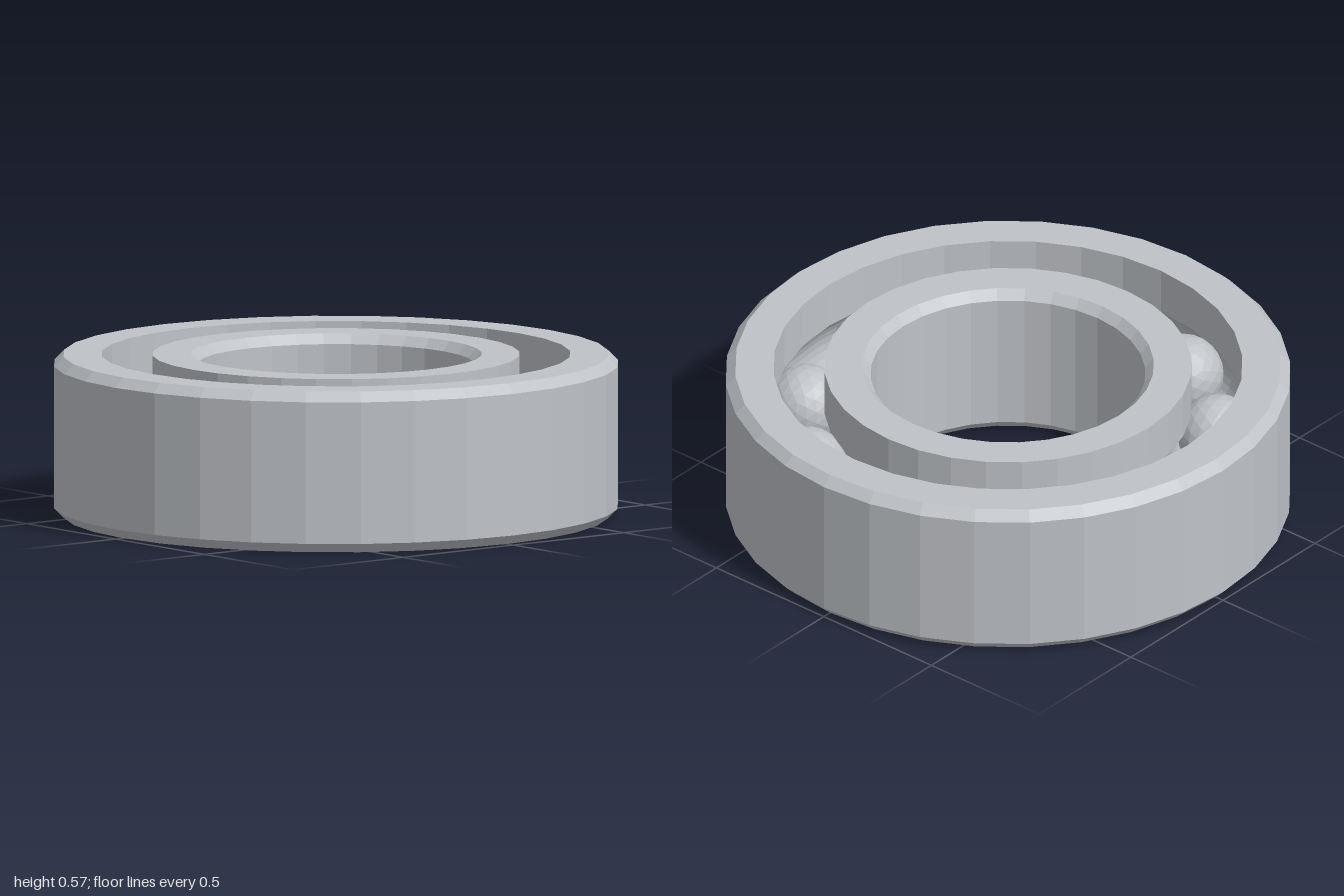
import * as THREE from 'three';

const HEIGHT = 0.573, MID = HEIGHT / 2;
const PITCH = 0.74;          // radius of the circle of ball centres
const BALL = 0.142, GROOVE = 0.146;
const SIDES = 32, BALLS = 11, CHAMFER = 0.034;

// Points of a raceway arc around the ball centre, between two angles
function arc(from, to, steps = 10) {
  return Array.from({ length: steps + 1 }, (_, i) => {
    const a = from + (to - from) * i / steps;
    return [PITCH + GROOVE * Math.cos(a), MID + GROOVE * Math.sin(a)];
  });
}

// Faceted ring from a closed profile of [radius, y], counter-clockwise
function ring(name, profile, material) {
  const points = [...profile, profile[0]].map(([r, y]) => new THREE.Vector2(r, y));
  const geometry = new THREE.LatheGeometry(points, SIDES).toNonIndexed();
  geometry.computeVertexNormals();
  const mesh = new THREE.Mesh(geometry, material);
  mesh.name = name;
  return mesh;
}

export function createModel() {
  const group = new THREE.Group();
  group.name = 'ballBearing';
  const steel = new THREE.MeshStandardMaterial({ color: 0xbfc3c8 });
  steel.name = 'steel';

  // Outer ring: chamfered outside, grooved inside
  const outerLip = 0.83, a = Math.acos((outerLip - PITCH) / GROOVE);
  group.add(ring('outerRing', [
    [outerLip, 0], [1 - CHAMFER, 0], [1, CHAMFER],
    [1, HEIGHT - CHAMFER], [1 - CHAMFER, HEIGHT], [outerLip, HEIGHT],
    ...arc(a, -a),
  ], steel));

  // Inner ring: grooved outside, chamfered bore
  const innerLip = 0.65, bore = 0.486, b = Math.acos((PITCH - innerLip) / GROOVE);
  group.add(ring('innerRing', [
    [innerLip, 0], ...arc(Math.PI + b, Math.PI - b), [innerLip, HEIGHT],
    [bore + 0.03, HEIGHT], [bore, HEIGHT - CHAMFER],
    [bore, CHAMFER], [bore + 0.03, 0],
  ], steel));

  // Balls evenly spaced in the raceway, the first on +x
  const ballGeometry = new THREE.IcosahedronGeometry(BALL, 3);
  ballGeometry.computeVertexNormals();
  const balls = new THREE.Group();
  balls.name = 'balls';
  for (let i = 0; i < BALLS; i++) {
    const t = i / BALLS * Math.PI * 2;
    const ball = new THREE.Mesh(ballGeometry, steel);
    ball.name = 'ball';
    ball.position.set(PITCH * Math.cos(t), MID, -PITCH * Math.sin(t));
    ball.rotation.y = t;
    balls.add(ball);
  }
  group.add(balls);
  return group;
}
